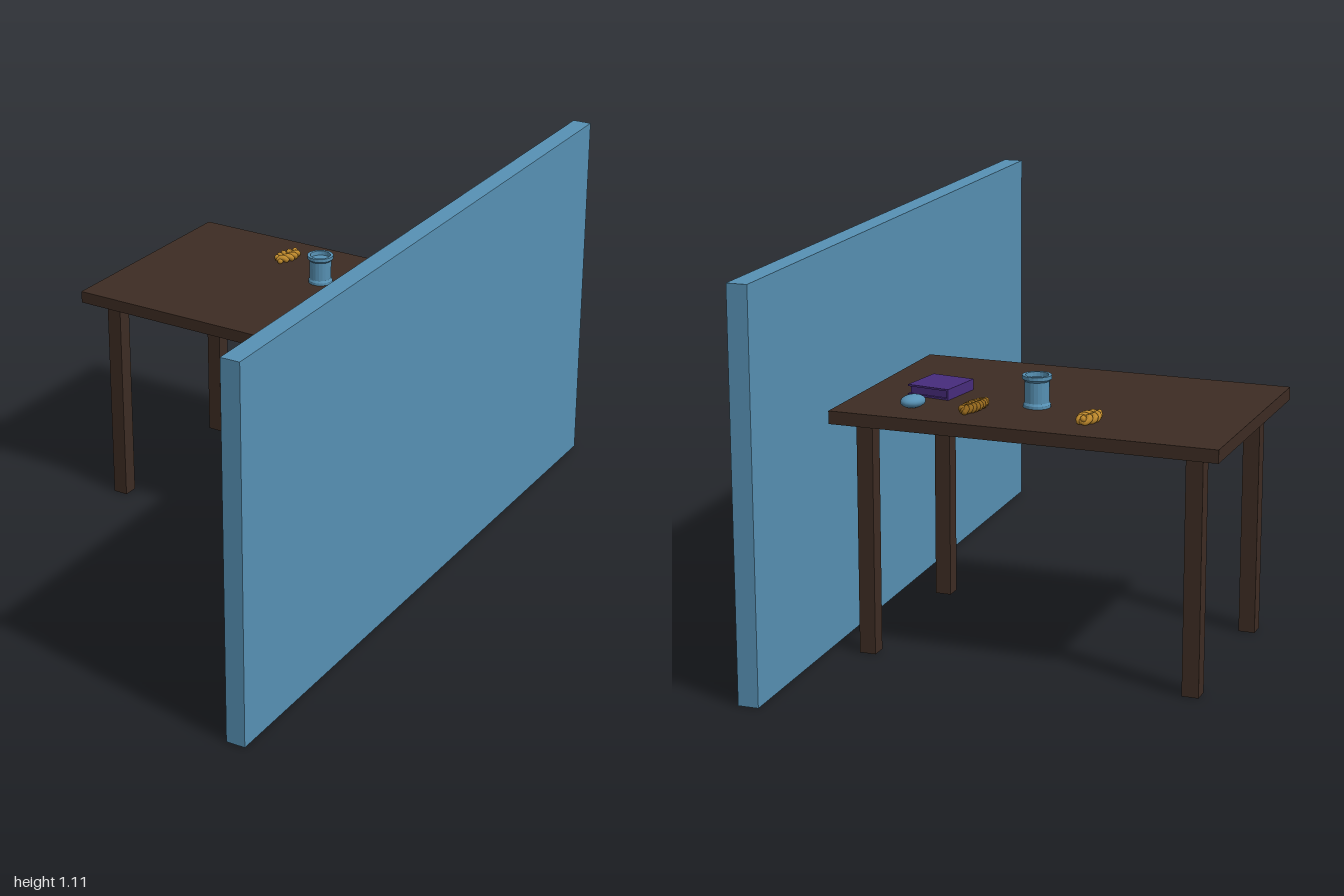
import * as THREE from 'three';

const mat = (name, color, side = THREE.FrontSide) => {
  const m = new THREE.MeshStandardMaterial({ color, side });
  m.name = name;
  return m;
};

export function createModel() {
  const blue = mat('blue', 0x5791b4);
  const wood = mat('dark wood', 0x3d2c23);
  const gold = mat('golden crust', 0xc08a2c);
  const brown = mat('brown crust', 0x94671c);
  const purple = mat('purple', 0x472c7c);
  const model = new THREE.Group();

  const add = (parent, name, geometry, material, x = 0, y = 0, z = 0) => {
    const mesh = new THREE.Mesh(geometry, material);
    mesh.name = name;
    mesh.position.set(x, y, z);
    parent.add(mesh);
    return mesh;
  };
  const group = (name, x, y, z, turn) => {
    const g = new THREE.Group();
    g.name = name;
    g.position.set(x, y, z);
    g.rotation.y = turn;
    model.add(g);
    return g;
  };
  const box = (w, h, d) => new THREE.BoxGeometry(w, h, d);

  // Tall wall panel, turned away from the axes
  const wall = group('wall', 0.326, 0, 0.034, 1.178);
  add(wall, 'wallPanel', box(2.07, 1.11, 0.057), blue, 0, 0.555, 0);

  // Table with four square legs
  const table = group('table', -0.122, 0, -0.465, -0.424);
  add(table, 'tableTop', box(1.074, 0.036, 0.692), wood, 0, 0.671, 0);
  for (const sx of [-1, 1]) {
    for (const sz of [-1, 1]) {
      add(table, 'tableLeg', box(0.046, 0.654, 0.046), wood, sx * 0.458, 0.327, sz * 0.268);
    }
  }
  const top = 0.689;

  // Plaited loaves: three strands weaving past each other, tapering at the ends
  const plait = (name, x, z, turn, length, width, thick, waves, material) => {
    const loaf = group(name, x, top, z, turn);
    for (let s = 0; s < 3; s++) {
      const points = [];
      for (let i = 0; i <= 24; i++) {
        const t = i / 24;
        const a = t * waves * Math.PI * 2 + (s * Math.PI * 2) / 3;
        const taper = 0.35 + 0.65 * Math.sin(Math.PI * t);
        points.push(new THREE.Vector3(
          (t - 0.5) * length,
          thick * (1.05 + 0.4 * Math.sin(2 * a)),
          (width / 2 - thick * 0.7) * taper * Math.sin(a)));
      }
      const path = new THREE.CatmullRomCurve3(points);
      add(loaf, 'strand', new THREE.TubeGeometry(path, 40, thick * 0.75, 8), material);
      for (const end of [points[0], points[24]]) {
        add(loaf, 'strandEnd', new THREE.SphereGeometry(thick * 0.75, 8, 6), material, end.x, end.y, end.z);
      }
    }
  };
  plait('goldenLoaf', -0.17, -0.71, 0.95, 0.08, 0.058, 0.012, 1.3, gold);
  plait('brownLoaf', 0.125, -0.577, 0.95, 0.105, 0.048, 0.012, 2.5, brown);

  // Cup with a flared rim, a foot and a raised inner floor
  const cup = group('cup', -0.045, top, -0.545, 0);
  const profile = [[0, 0], [0.037, 0], [0.037, 0.008], [0.033, 0.014], [0.034, 0.072],
    [0.04, 0.078], [0.04, 0.088], [0.031, 0.088], [0.03, 0.075], [0, 0.075]]
    .map(([r, y]) => new THREE.Vector2(r, y));
  const cupGeometry = new THREE.LatheGeometry(profile, 20).toNonIndexed();
  cupGeometry.computeVertexNormals();
  add(cup, 'cupBody', cupGeometry, blue);

  // Smooth rounded pebble
  const pebble = group('pebble', 0.285, top + 0.018, -0.536, 0.7);
  const stone = add(pebble, 'pebbleBody', new THREE.SphereGeometry(1, 16, 12), blue);
  stone.scale.set(0.038, 0.018, 0.029);

  // Closed book: two covers, a spine and the page block
  const book = group('book', 0.206, top, -0.376, -0.56);
  add(book, 'bottomCover', box(0.126, 0.005, 0.138), purple, 0, 0.0025, 0);
  add(book, 'pages', box(0.114, 0.02, 0.126), purple, 0, 0.015, 0);
  add(book, 'topCover', box(0.126, 0.005, 0.138), purple, 0, 0.0275, 0);
  add(book, 'spine', box(0.006, 0.02, 0.138), purple, -0.06, 0.015, 0);

  return model;
}
